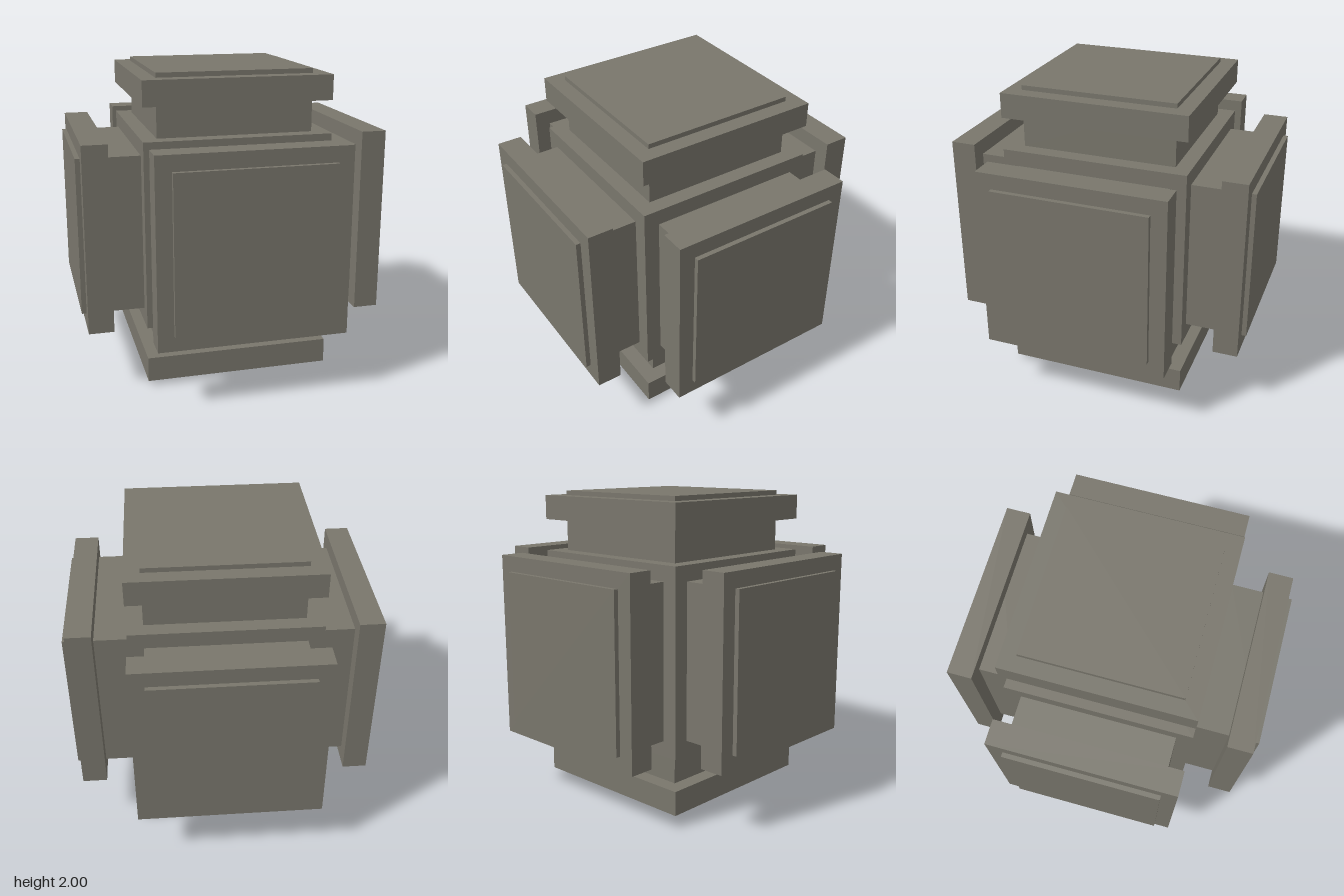
import * as THREE from 'three';

export function createModel() {
  const model = new THREE.Group();
  model.name = 'sixSidedBlock';
  const stone = new THREE.MeshStandardMaterial({ color: 0x79766c });
  stone.name = 'warm grey';

  const addBox = (parent, name, width, from, to) => {
    const mesh = new THREE.Mesh(new THREE.BoxGeometry(width, to - from, width), stone);
    mesh.name = name;
    mesh.position.y = (from + to) / 2;
    parent.add(mesh);
  };

  // Everything is arranged around the centre of the core
  const body = new THREE.Group();
  body.name = 'body';
  body.position.y = 1;
  model.add(body);
  addBox(body, 'core', 1.2, -0.6, 0.6);

  // One flanged arm per side: a square neck passing through a wider plate
  const sides = {
    top: [0, 1, 0], bottom: [0, -1, 0],
    left: [1, 0, 0], right: [-1, 0, 0],
    front: [0, 0, 1], back: [0, 0, -1],
  };
  const up = new THREE.Vector3(0, 1, 0);
  for (const [side, direction] of Object.entries(sides)) {
    const arm = new THREE.Group();
    arm.name = `${side}Arm`;
    addBox(arm, 'neck', 1.0, 0.6, 1.0);
    addBox(arm, 'plate', 1.2, 0.81, 0.97);
    arm.quaternion.setFromUnitVectors(up, new THREE.Vector3(...direction));
    body.add(arm);
  }
  return model;
}
